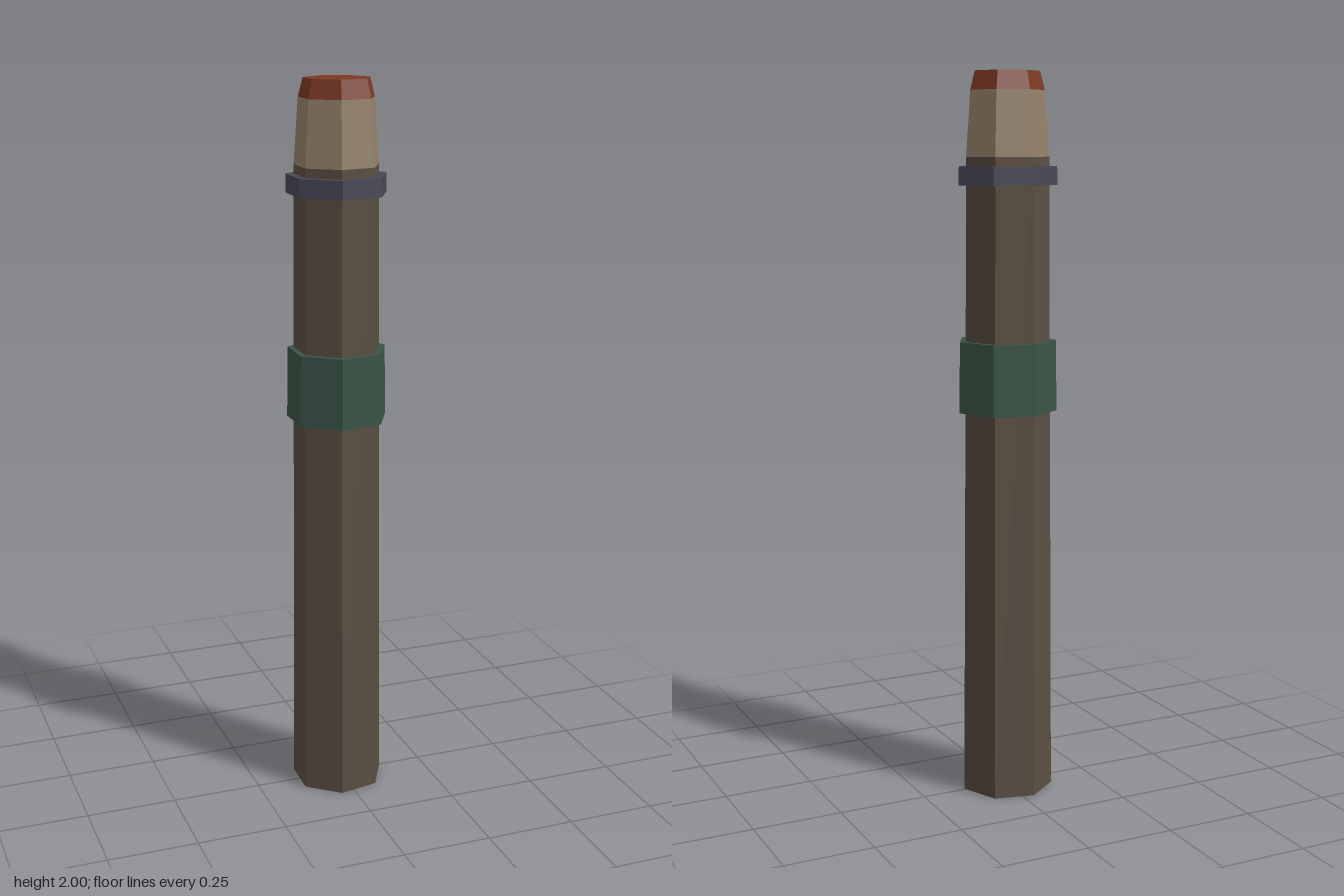
import * as THREE from 'three';

const SIDES = 7;
const STEP = (Math.PI * 2) / SIDES;
const START = Math.PI / 2 - 0.026; // one corner points almost along +x

const material = (name, color) => {
  const m = new THREE.MeshStandardMaterial({ color });
  m.name = name;
  return m;
};

export function createModel() {
  const brown = material('dark brown', 0x5a4f42);
  const redBrown = material('reddish brown', 0x564840);
  const tan = material('tan', 0x94826a);
  const rust = material('rust red', 0x7a3823);
  const slate = material('slate blue', 0x484856);
  const green = material('deep green', 0x3a5446);

  const group = new THREE.Group();
  group.name = 'bandedPost';

  // Flat-sided tapered section covering `count` sides, beginning at side `first`
  const section = (name, mat, y0, y1, r0, r1, first = 0, count = SIDES) => {
    const geo = new THREE.CylinderGeometry(
      r1, r0, y1 - y0, count, 1, false, START + first * STEP, count * STEP
    ).toNonIndexed();
    geo.computeVertexNormals();
    const mesh = new THREE.Mesh(geo, mat);
    mesh.name = name;
    mesh.position.set(-0.006, (y0 + y1) / 2, 0.001);
    group.add(mesh);
  };

  // Shaft, with one side in a redder brown
  section('shaftRedSide', redBrown, 0, 1.775, 0.13, 0.1165, 0, 1);
  section('shaft', brown, 0, 1.775, 0.13, 0.1165, 1, SIDES - 1);

  // Bands around the shaft
  section('wideBand', green, 1.085, 1.28, 0.14, 0.137);
  section('narrowBand', slate, 1.7, 1.75, 0.139, 0.138);

  // Pale neck and coloured tip
  section('neck', tan, 1.775, 1.95, 0.1165, 0.104);
  section('tip', rust, 1.95, 2, 0.104, 0.091);

  return group;
}
